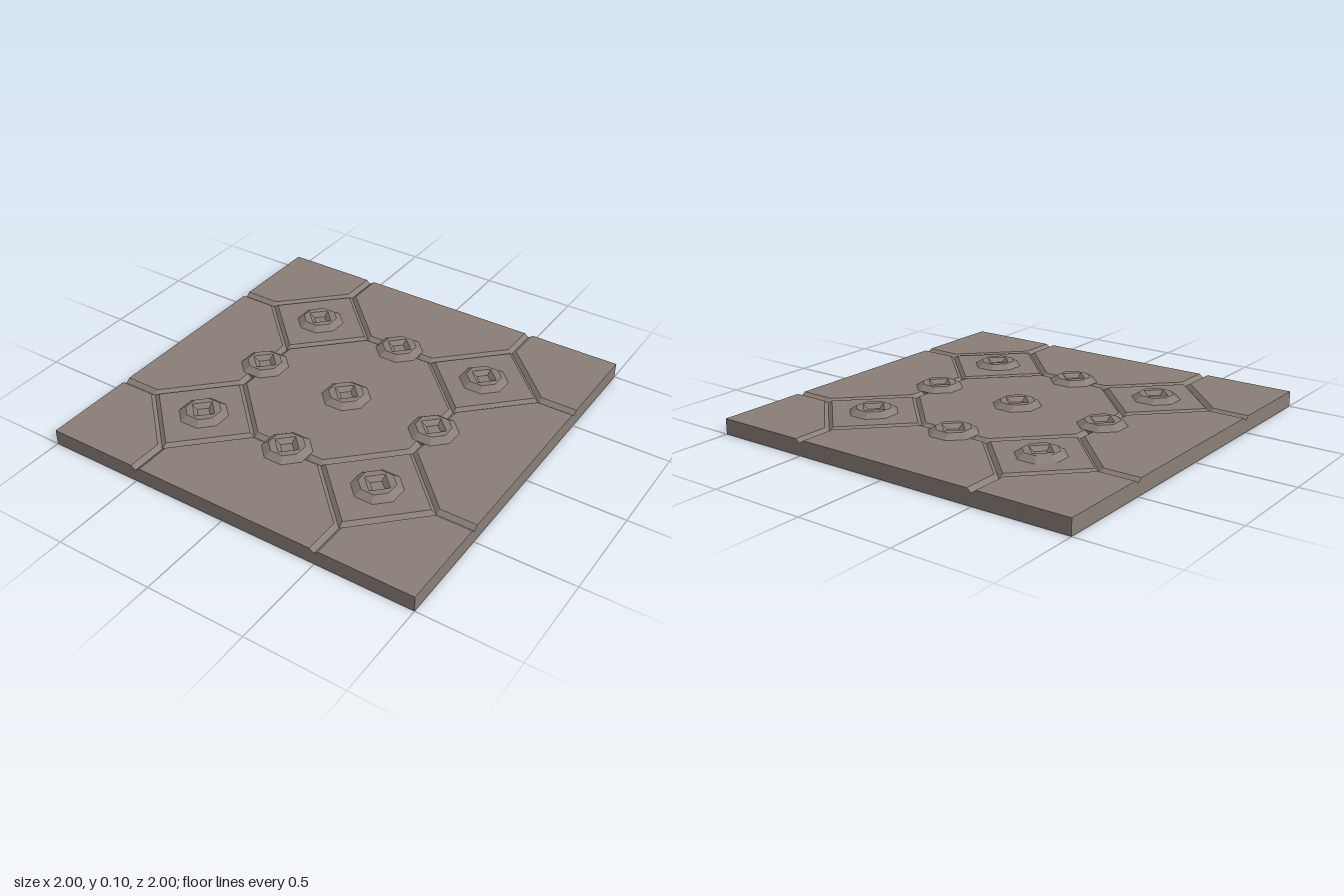
import * as THREE from 'three';

const H = 0.08;                     // plate height
const LOW = 0.062;                  // bottom of the grooves
const W = 0.024;                    // half width of a straight groove
const RI = 0.283, RC = 0.31, RO = 0.337; // diamond groove: inner edge, centre, outer edge

// Plate skin: one eighth pattern, swapped and mirrored around four diamond centres
function plateGeometry() {
  const out = [];
  const low = (u, v) => [u, LOW, v];
  const top = (u, v) => [u, H, v];
  const a = RO - W;
  const whole = [
    [top(0, 0), top(0, RI), top(RI, 0)],                                   // diamond face
    [top(RI, 0), top(0, RI), low(0, RC), low(RC, 0)],                      // inner groove slope
    [low(RC, 0), low(0, RC), top(W, a), top(a, W)],                        // outer groove slope
    [top(a, W), top(W, a), top(W, 0.5), top(0.5, 0.5), top(0.5, W)]        // surrounding field
  ];
  const channel = [low(RC, 0), top(a, W), top(0.5, W), low(0.5, 0)];
  const walls = [
    [[0.5, 0, 0], low(0.5, 0), top(0.5, W), [0.5, 0, W]],
    [[0.5, 0, W], top(0.5, W), top(0.5, 0.5), [0.5, 0, 0.5]]
  ];

  for (const cx of [-0.5, 0.5]) for (const cz of [-0.5, 0.5])
    for (const sx of [-1, 1]) for (const sz of [-1, 1]) {
      const emit = (poly, swap) => {
        const pts = poly.map(([u, y, v]) => swap
          ? [cx + sx * v, y, cz + sz * u]
          : [cx + sx * u, y, cz + sz * v]);
        if ((sx * sz < 0) !== swap) pts.reverse();
        for (let i = 1; i < pts.length - 1; i++) out.push(...pts[0], ...pts[i], ...pts[i + 1]);
      };
      whole.forEach(p => emit(p, false));
      emit(channel, false);
      emit(channel, true);
      // Side walls only along the outer border
      if (cx * sx > 0) walls.forEach(p => emit(p, false));
      if (cz * sz > 0) walls.forEach(p => emit(p, true));
    }

  const g = new THREE.BufferGeometry();
  g.setAttribute('position', new THREE.Float32BufferAttribute(out, 3));
  g.computeVertexNormals();
  return g;
}

// Open eight-sided band, sized across its flats
function octagonBand(topHalf, bottomHalf, y0, y1) {
  const k = 1 / Math.cos(Math.PI / 8);
  return new THREE.CylinderGeometry(topHalf * k, bottomHalf * k, y1 - y0, 8, 1, true)
    .rotateY(Math.PI / 8).translate(0, (y0 + y1) / 2, 0);
}

function ringPoints(radius, sides, offset) {
  return Array.from({ length: sides }, (_, i) => {
    const t = offset + i * 2 * Math.PI / sides;
    return new THREE.Vector2(radius * Math.cos(t), radius * Math.sin(t));
  });
}

export function createModel() {
  const model = new THREE.Group();
  model.name = 'floorTile';
  const stone = new THREE.MeshStandardMaterial({ color: 0x8a7f77 });
  stone.name = 'warmGreyMetal';
  stone.side = THREE.DoubleSide;
  stone.flatShading = true;

  const plate = new THREE.Mesh(plateGeometry(), stone);
  plate.name = 'plate';
  model.add(plate);

  // Stud parts: skirt, bevel, flat rim and a diamond socket
  const topY = 0.105, floorY = 0.084, half = 0.082, socket = 0.07, socketFloor = 0.04;
  const rim = new THREE.Shape(ringPoints(half / Math.cos(Math.PI / 8), 8, Math.PI / 8));
  rim.holes.push(new THREE.Path(ringPoints(socket, 4, 0).reverse()));
  const parts = {
    studSkirt: octagonBand(0.115, 0.115, 0.064, H),
    studBevel: octagonBand(half, 0.115, H, topY),
    studRim: new THREE.ShapeGeometry(rim).rotateX(-Math.PI / 2).translate(0, topY, 0),
    studSocket: new THREE.CylinderGeometry(socket, socketFloor, topY - floorY, 4, 1, true)
      .translate(0, (topY + floorY) / 2, 0),
    studSocketFloor: new THREE.CircleGeometry(socketFloor, 4).rotateX(-Math.PI / 2).translate(0, floorY, 0)
  };

  for (const x of [-0.5, 0, 0.5]) for (const z of [-0.5, 0, 0.5]) {
    const stud = new THREE.Group();
    stud.name = 'stud';
    for (const [name, geometry] of Object.entries(parts)) {
      const mesh = new THREE.Mesh(geometry, stone);
      mesh.name = name;
      stud.add(mesh);
    }
    stud.position.set(x, 0, z);
    model.add(stud);
  }
  return model;
}
